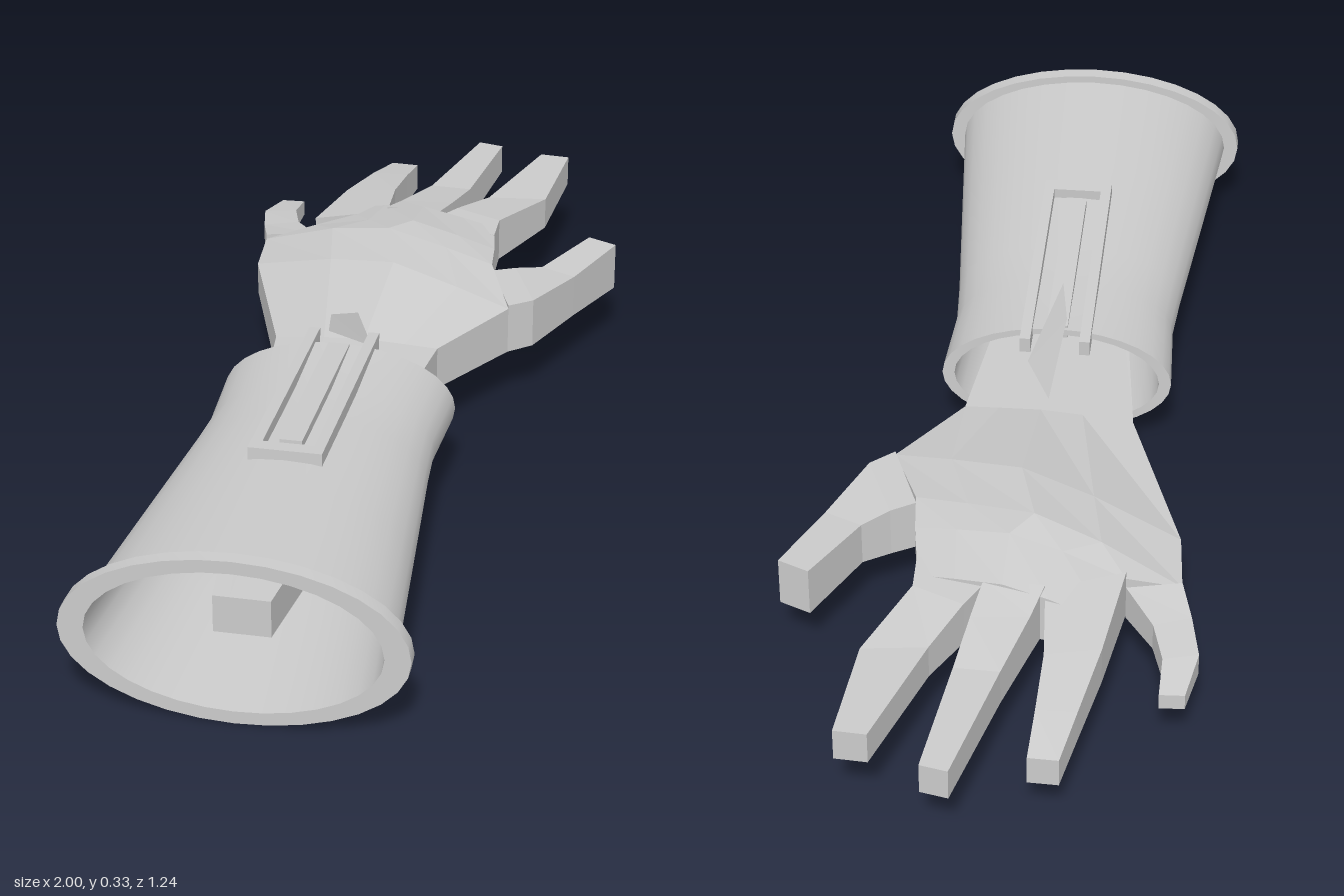
import * as THREE from 'three';
import { toCreasedNormals } from 'three/addons/utils/BufferGeometryUtils.js';
import { ConvexGeometry } from 'three/addons/geometries/ConvexGeometry.js';

const smooth = new THREE.MeshStandardMaterial({ color: 0xcccccc });
const faceted = new THREE.MeshStandardMaterial({ color: 0xcccccc, flatShading: true });

function add(parent, name, geometry, material = faceted) {
  const mesh = new THREE.Mesh(geometry, material);
  mesh.name = name;
  parent.add(mesh);
  return mesh;
}

// Skins a list of equal-length rings of [x, y, z] and caps both ends
function loft(rings) {
  const n = rings[0].length, out = [];
  const tri = (a, b, c) => out.push(...a, ...b, ...c);
  for (let i = 0; i < rings.length - 1; i++) {
    const A = rings[i], B = rings[i + 1];
    for (let j = 0; j < n; j++) {
      const k = (j + 1) % n;
      tri(A[j], A[k], B[j]);
      tri(A[k], B[k], B[j]);
    }
  }
  const first = rings[0], last = rings[rings.length - 1];
  for (let j = 1; j < n - 1; j++) {
    tri(first[0], first[j + 1], first[j]);
    tri(last[0], last[j], last[j + 1]);
  }
  const g = new THREE.BufferGeometry();
  g.setAttribute('position', new THREE.Float32BufferAttribute(out, 3));
  g.computeVertexNormals();
  return g;
}

// Rectangular finger section: back edge x,z, front edge x,z, bottom y, top y
const fingerRing = ([ax, az, bx, bz, lo, hi]) =>
  [[ax, lo, az], [ax, hi, az], [bx, hi, bz], [bx, lo, bz]];

// Palm section: as above, with separate edge tops and a raised back of the hand
function palmRing([ax, az, bx, bz, lo, topA, ridge, topB]) {
  const at = (t, y) => [ax + (bx - ax) * t, y, az + (bz - az) * t];
  return [at(0, lo), at(0, topA), at(0.3, (topA + 2 * ridge) / 3), at(0.55, ridge),
    at(0.8, (topB + ridge) / 2), at(1, topB), at(1, lo)];
}

export function createModel() {
  const model = new THREE.Group();

  // Hand, with the forearm running back inside the sleeve
  const hand = new THREE.Group();
  hand.name = 'hand';
  model.add(hand);
  add(hand, 'palmAndForearm', loft([
    [-0.835, 0.264, -0.795, 0.356, 0.13, 0.2, 0.2, 0.2],
    [0, -0.22, 0.12, 0.07, 0.11, 0.185, 0.2, 0.195],
    [0.25, -0.45, 0.32, 0.1, 0.112, 0.175, 0.248, 0.205],
    [0.36, -0.51, 0.43, -0.01, 0.112, 0.17, 0.255, 0.225],
    [0.42, -0.43, 0.5, -0.05, 0.115, 0.2, 0.25, 0.22],
    [0.53, -0.45, 0.6, -0.115, 0.122, 0.19, 0.228, 0.21],
  ].map(palmRing)));

  const fingers = {
    littleFinger: [
      [0.36, -0.51, 0.42, -0.43, 0.112, 0.18],
      [0.42, -0.56, 0.47, -0.51, 0.112, 0.165],
      [0.49, -0.61, 0.53, -0.56, 0.112, 0.155],
      [0.58, -0.63, 0.6, -0.59, 0.11, 0.14],
    ],
    ringFinger: [
      [0.42, -0.43, 0.53, -0.33, 0.116, 0.215],
      [0.6, -0.48, 0.66, -0.4, 0.12, 0.195],
      [0.74, -0.51, 0.77, -0.445, 0.112, 0.175],
      [0.84, -0.53, 0.86, -0.48, 0.1, 0.155],
    ],
    middleFinger: [
      [0.53, -0.33, 0.57, -0.23, 0.122, 0.225],
      [0.6, -0.34, 0.65, -0.25, 0.125, 0.21],
      [0.73, -0.355, 0.76, -0.28, 0.12, 0.19],
      [0.98, -0.4, 0.99, -0.35, 0.125, 0.185],
    ],
    indexFinger: [
      [0.57, -0.23, 0.56, -0.09, 0.122, 0.215],
      [0.63, -0.225, 0.63, -0.123, 0.125, 0.212],
      [0.74, -0.22, 0.8, -0.12, 0.13, 0.195],
      [0.98, -0.245, 1, -0.19, 0.135, 0.197],
    ],
    thumb: [
      [0.43, -0.01, 0.32, 0.1, 0.112, 0.212],
      [0.47, 0.02, 0.37, 0.125, 0.112, 0.21],
      [0.52, 0.05, 0.52, 0.125, 0.115, 0.2],
      [0.68, 0.06, 0.68, 0.122, 0.11, 0.205],
    ],
  };
  for (const [name, rows] of Object.entries(fingers)) {
    add(hand, name, loft(rows.map(fingerRing)));
  }

  // Gauntlet: local +x runs from the cuff towards the hand
  const gauntlet = new THREE.Group();
  gauntlet.name = 'gauntlet';
  gauntlet.position.set(-0.87, 0.157, 0.335);
  gauntlet.rotation.y = 0.414;
  model.add(gauntlet);

  // Hollow oval sleeve with a flanged cuff: [radius, distance along]
  const profile = [
    [0.255, -0.012], [0.3, -0.012], [0.3, 0.016], [0.272, 0.016],
    [0.245, 0.3], [0.218, 0.58], [0.21, 0.69], [0.218, 0.857],
    [0.195, 0.857], [0.188, 0.69], [0.222, 0.3], [0.255, -0.012],
  ].map(([r, s]) => new THREE.Vector2(r, s));
  const sleeve = new THREE.LatheGeometry(profile, 32);
  sleeve.rotateZ(-Math.PI / 2);
  sleeve.scale(1, 0.523, 1);
  add(gauntlet, 'sleeve', toCreasedNormals(sleeve, 0.6), smooth);

  // Blade rail on top of the sleeve, sloping down to the wrist
  const rail = new THREE.Group();
  rail.name = 'bladeRail';
  rail.position.set(0.39, 0.126, 0);
  rail.rotation.z = -0.045;
  gauntlet.add(rail);
  const bar = (name, x0, x1, z0, z1, y0, y1) => {
    const g = new THREE.BoxGeometry(x1 - x0, y1 - y0, z1 - z0);
    g.translate((x0 + x1) / 2, (y0 + y1) / 2, (z0 + z1) / 2);
    add(rail, name, g);
  };
  bar('railEnd', 0, 0.03, -0.066, 0.066, -0.015, 0.016);
  for (const side of [-1, 1]) {
    const inner = side * 0.046, outer = side * 0.066;
    bar('railSide', 0.03, 0.51, Math.min(inner, outer), Math.max(inner, outer), -0.015, 0.016);
  }
  bar('bladeShaft', 0.05, 0.46, -0.02, 0.02, -0.015, 0.012);

  // Angled blade tip
  add(model, 'blade', new ConvexGeometry([
    [-0.15, 0.33, 0.012], [-0.07, 0.315, -0.04], [0.08, 0.243, -0.085], [-0.01, 0.238, 0.01],
  ].map((p) => new THREE.Vector3(...p))));

  return model;
}
